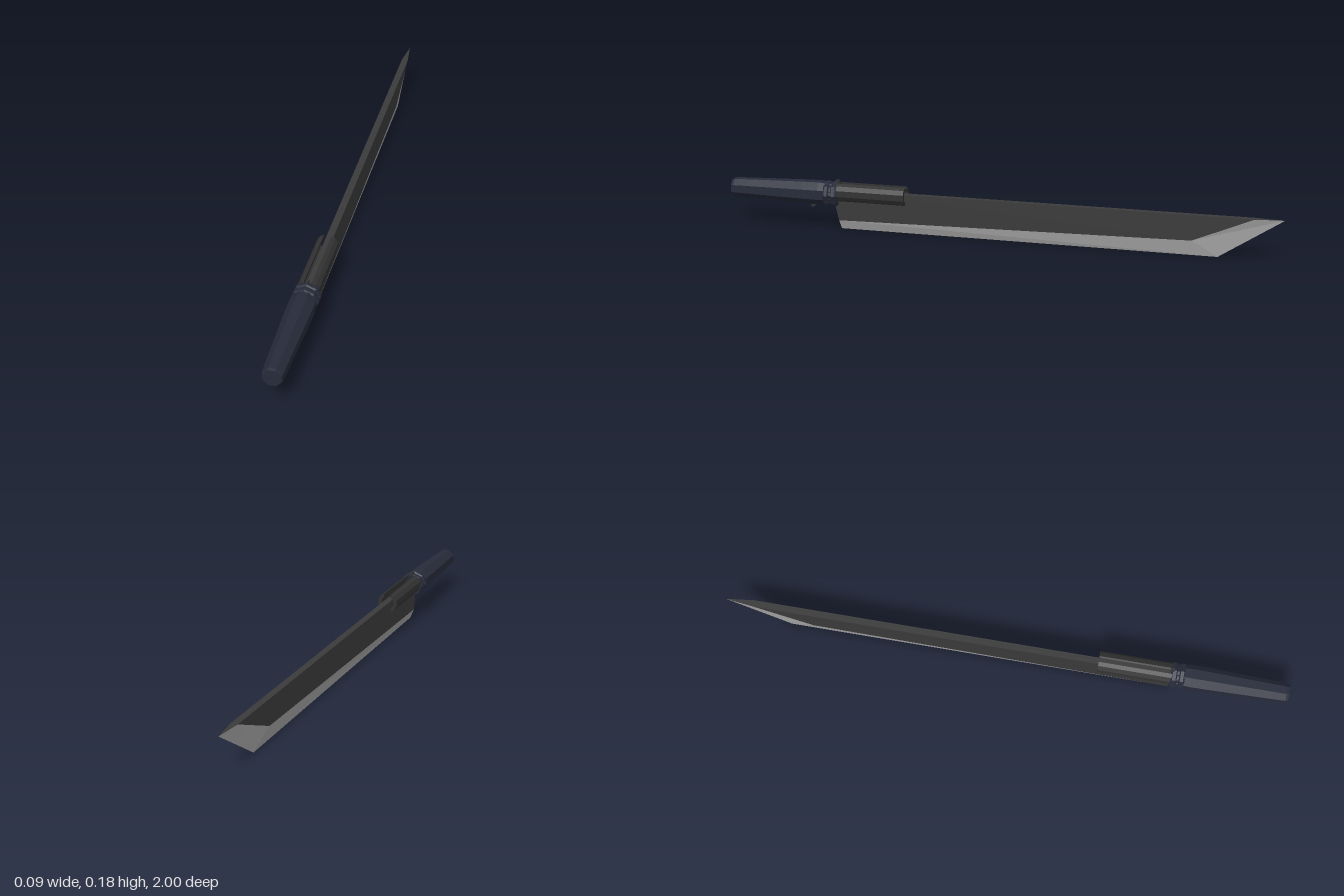
import * as THREE from 'three';

const material = (color) => new THREE.MeshStandardMaterial({ color, flatShading: true });
const AXIS_Y = 0.13;

function addMesh(parent, name, geometry, mat) {
  const mesh = new THREE.Mesh(geometry, mat);
  mesh.name = name;
  parent.add(mesh);
  return mesh;
}

// Triangulates convex polygons given as lists of [x, y, z] corners
function polygons(list) {
  const pos = [];
  for (const p of list) {
    for (let i = 1; i < p.length - 1; i++) pos.push(...p[0], ...p[i], ...p[i + 1]);
  }
  const g = new THREE.BufferGeometry();
  g.setAttribute('position', new THREE.Float32BufferAttribute(pos, 3));
  g.computeVertexNormals();
  return g;
}

// Eight-sided turned shape along z from [radius, z] pairs
function turned(profile, turn) {
  const g = new THREE.LatheGeometry(profile.map(([r, z]) => new THREE.Vector2(r, z)), 8, turn);
  return g.rotateX(Math.PI / 2).translate(0, AXIS_Y, 0);
}

export function createModel() {
  const group = new THREE.Group();
  const steel = material(0x3a3a3a);
  const edgeSteel = material(0xa6a6a6);
  const sleeveMat = material(0x333333);
  const gripMat = material(0x272b3a);

  // Blade: flat cheeks, spine and heel, with a bevel ground to a sharp edge
  const t = 0.012;
  const corner = (y, z) => (s) => [s * t, y, z];
  const a = corner(0.145, 0.6), heel = corner(0.09, 0.6), b = corner(0.033, 0.588);
  const c = corner(0.055, -0.69), d = corner(0.145, -0.9);
  const e = [0, 0, 0.582], f = [0, 0, -0.78], tip = [0, 0.145, -1];
  const body = [
    [a(1), d(1), tip, d(-1), a(-1)],
    [a(1), a(-1), heel(-1), heel(1)],
    [heel(1), heel(-1), b(-1), e, b(1)],
  ];
  const bevel = [];
  for (const s of [1, -1]) {
    const face = (p) => (s > 0 ? p : p.reverse());
    body.push(face([a(s), heel(s), b(s), c(s), d(s)]));
    bevel.push(face([b(s), e, f, c(s)]), face([c(s), f, tip, d(s)]));
  }
  addMesh(group, 'bladeBody', polygons(body), steel);
  addMesh(group, 'bladeEdge', polygons(bevel), edgeSteel);

  // Slotted sleeve: two half shells clamping the blade
  for (const s of [1, -1]) {
    const outer = [[0.013, 0.033], [0.026, 0.026], [0.036, 0.011], [0.036, -0.011], [0.026, -0.026], [0.012, -0.033]];
    const inner = [[0.012, -0.021], [0.024, -0.01], [0.024, 0.01], [0.013, 0.021]];
    const shape = new THREE.Shape([...outer, ...inner].map(([x, y]) => new THREE.Vector2(s * x, y)));
    const g = new THREE.ExtrudeGeometry(shape, { depth: 0.265, bevelEnabled: false });
    addMesh(group, s > 0 ? 'sleeveLeft' : 'sleeveRight', g.translate(0, 0.138, 0.335), sleeveMat);
  }

  // Tapered grip with a chamfered pommel
  addMesh(group, 'grip', turned([
    [0, 0.61], [0.04, 0.61], [0.045, 0.66], [0.044, 0.72], [0.037, 0.94], [0.035, 0.99], [0.032, 1], [0, 1],
  ], Math.PI / 8), gripMat);

  // Grooved collar between sleeve and grip
  addMesh(group, 'collar', turned([
    [0, 0.588], [0.043, 0.588], [0.047, 0.594], [0.047, 0.606], [0.042, 0.61],
    [0.042, 0.617], [0.047, 0.621], [0.047, 0.632], [0.043, 0.638], [0, 0.638],
  ], 0), gripMat);

  // Small catch on top of the collar
  const catchGeo = new THREE.BoxGeometry(0.01, 0.014, 0.014).translate(0, 0.175, 0.592);
  addMesh(group, 'topCatch', catchGeo, sleeveMat);

  // Hooked finger stop under the grip
  const hook = new THREE.Shape([[-0.7, 0.1], [-0.69, 0.075], [-0.675, 0.085], [-0.65, 0.1]]
    .map(([u, v]) => new THREE.Vector2(u, v)));
  const hookGeo = new THREE.ExtrudeGeometry(hook, { depth: 0.024, bevelEnabled: false });
  hookGeo.translate(0, 0, -0.012).rotateY(Math.PI / 2);
  addMesh(group, 'fingerStop', hookGeo, sleeveMat);

  return group;
}
